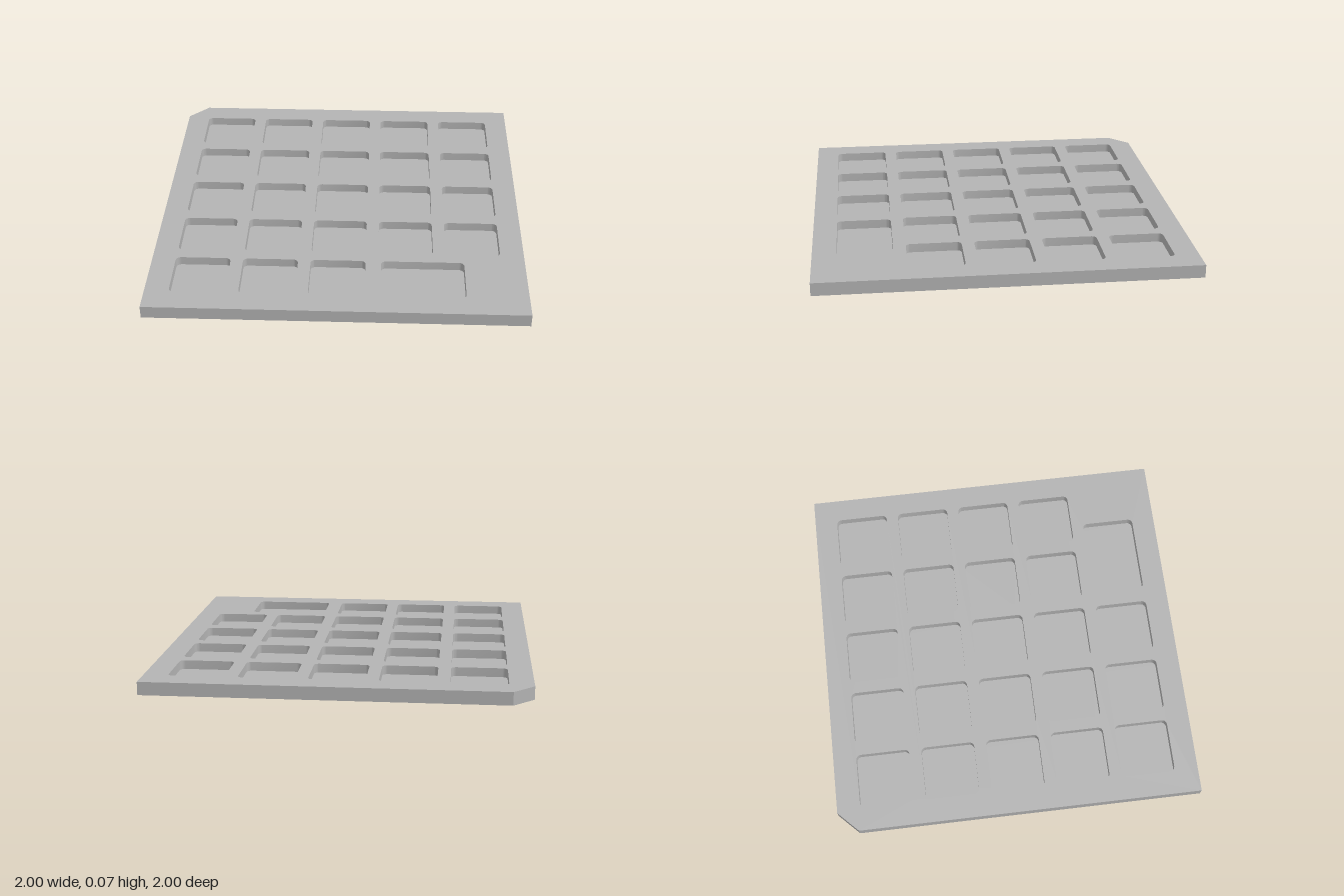
import * as THREE from 'three';
import { toCreasedNormals } from 'three/addons/utils/BufferGeometryUtils.js';

const HEIGHT = 0.07, FLOOR = 0.022, PITCH = 0.3625, POCKET = 0.295, WIDE = 0.445, RADIUS = 0.027;

// Square outline with one clipped back corner (shape y is -z)
function outlinePoints() {
  return [[-1, -1], [1, -1], [1, 1], [-0.89, 1], [-1, 0.89]].map(([x, y]) => new THREE.Vector2(x, y));
}

// Rounded rectangle, counter-clockwise
function pocketPoints(cx, cy, w, h) {
  const pts = [], steps = 6;
  [[1, 1], [-1, 1], [-1, -1], [1, -1]].forEach(([sx, sy], corner) => {
    for (let i = 0; i <= steps; i++) {
      const a = (corner + i / steps) * Math.PI / 2;
      pts.push(new THREE.Vector2(
        cx + sx * (w / 2 - RADIUS) + RADIUS * Math.cos(a),
        cy + sy * (h / 2 - RADIUS) + RADIUS * Math.sin(a)));
    }
  });
  return pts;
}

// Horizontal face at height y
function flatFace(shape, y) {
  return new THREE.ShapeGeometry(shape).rotateX(-Math.PI / 2).translate(0, y, 0);
}

// Vertical wall around a loop; a reversed loop faces inwards
function wall(points, y0, y1) {
  const pos = [];
  points.forEach((a, i) => {
    const b = points[(i + 1) % points.length];
    pos.push(a.x, y0, -a.y, b.x, y0, -b.y, b.x, y1, -b.y);
    pos.push(a.x, y0, -a.y, b.x, y1, -b.y, a.x, y1, -a.y);
  });
  const geo = new THREE.BufferGeometry();
  geo.setAttribute('position', new THREE.Float32BufferAttribute(pos, 3));
  geo.computeVertexNormals();
  return toCreasedNormals(geo, Math.PI / 6);
}

export function createModel() {
  const model = new THREE.Group();
  model.name = 'pocketTray';
  const grey = new THREE.MeshStandardMaterial({ color: 0xb3b3b3 });
  grey.name = 'grey';
  const add = (parent, name, geometry) => {
    const mesh = new THREE.Mesh(geometry, grey);
    mesh.name = name;
    parent.add(mesh);
  };

  // Five by five pockets; the last two of the front row become one wide pocket
  const pockets = [];
  for (let row = -2; row <= 2; row++) {
    for (let col = -2; col <= 2; col++) {
      if (row === 2 && col > 0) continue;
      pockets.push(pocketPoints(col * PITCH, -row * PITCH, POCKET, POCKET));
    }
  }
  pockets.push(pocketPoints(0.4525, -2 * PITCH, WIDE, POCKET));

  // Plate: pierced top, plain underside and outer edge
  const plate = new THREE.Group();
  plate.name = 'plate';
  model.add(plate);
  const outline = outlinePoints();
  const top = new THREE.Shape(outline);
  top.holes = pockets.map((p) => new THREE.Path(p));
  add(plate, 'topFace', flatFace(top, HEIGHT));
  add(plate, 'outerEdge', wall(outline, 0, HEIGHT));
  const under = new THREE.Shape(outline.map((p) => new THREE.Vector2(p.x, -p.y)));
  add(plate, 'underside', new THREE.ShapeGeometry(under).rotateX(Math.PI / 2));

  // Recessed pockets with a wall and a floor each
  pockets.forEach((points, i) => {
    const pocket = new THREE.Group();
    pocket.name = i === pockets.length - 1 ? 'widePocket' : `pocket${i + 1}`;
    add(pocket, 'pocketFloor', flatFace(new THREE.Shape(points), FLOOR));
    add(pocket, 'pocketWall', wall([...points].reverse(), FLOOR, HEIGHT));
    model.add(pocket);
  });
  return model;
}
